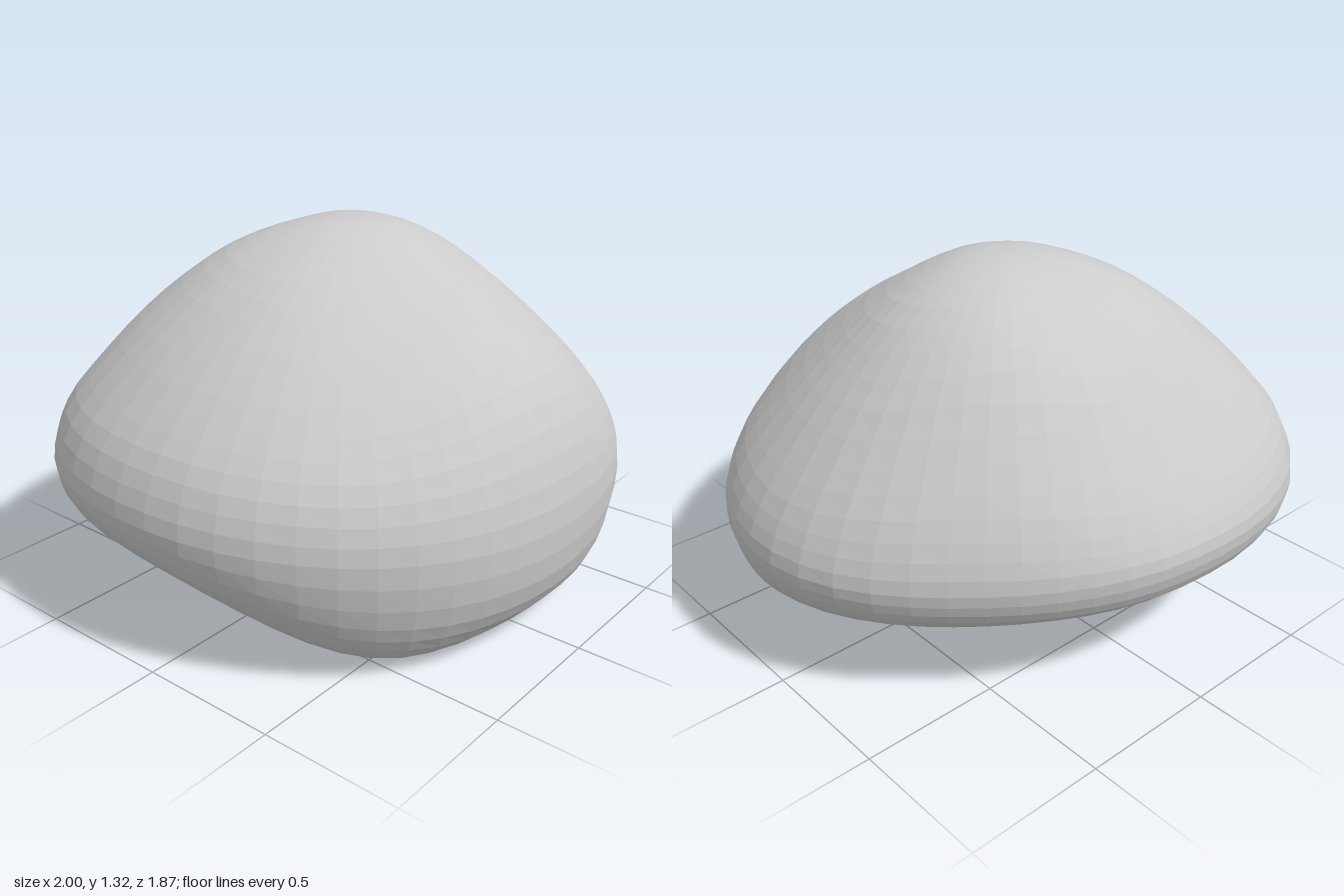
import * as THREE from 'three';

// Values every 45 degrees, from +x (left) towards +z (front)
const radius = [1.0, 1.0, 0.93, 0.94, 0.995, 1.055, 0.925, 0.875];
const rimRadius = [0.82, 0.88, 0.7, 0.79, 0.79, 0.71, 0.72, 0.78];
const rimHeight = [0.24, 0.045, 0.003, 0.045, 0.27, 0.3, 0.29, 0.28];

// Heights of the dome at these fractions of the radius
const domeSteps = [0.08, 0.2, 0.4, 0.62, 0.82, 0.95, 1];
const domeHeights = [
  [1.318, 1.316, 1.314, 1.314, 1.317, 1.319, 1.319, 1.32],
  [1.3, 1.285, 1.28, 1.275, 1.285, 1.298, 1.3, 1.308],
  [1.215, 1.18, 1.175, 1.165, 1.19, 1.22, 1.22, 1.245],
  [1.025, 1.01, 1.06, 1.01, 1.035, 1.06, 1.06, 1.1],
  [0.8, 0.81, 0.91, 0.83, 0.85, 0.86, 0.82, 0.87],
  [0.62, 0.63, 0.69, 0.66, 0.69, 0.69, 0.64, 0.67],
  [0.48, 0.46, 0.45, 0.48, 0.52, 0.52, 0.52, 0.5],
];
// Hollow underside: [fraction of rim radius, rise towards the ceiling]
const hollow = [[0.88, 0.17], [0.72, 0.44], [0.5, 0.74], [0.27, 0.93], [0, 1]];
const CEILING = 0.49;

// Smooth periodic interpolation of a table around the body
function around(table, t) {
  const n = table.length, i = Math.floor(t * n), f = t * n - i;
  const [a, b, c, d] = [-1, 0, 1, 2].map((k) => table[(i + k + n) % n]);
  return b + 0.5 * f * (c - a + f * (2 * a - 5 * b + 4 * c - d + f * (3 * (b - c) + d - a)));
}

// Section from the crown, over the rim, to the middle of the hollow
function section(t) {
  const angle = t * Math.PI * 2;
  const R = around(radius, t), rim = around(rimRadius, t), low = around(rimHeight, t);
  const wide = around(domeHeights[6], t);
  const drop = (s) => wide + (low - wide) * s;
  const profile = [[0, 1.32]];
  domeSteps.forEach((f, i) => profile.push([f * R, around(domeHeights[i], t)]));
  profile.push([0.96 * R, drop(0.55)], [(0.45 * 0.96 + 0.55 * rim) * R, drop(0.9)], [rim * R, low]);
  hollow.forEach(([k, rise]) => profile.push([k * rim * R, low + (CEILING - low) * rise]));
  return new THREE.CatmullRomCurve3(profile.map(([r, y]) =>
    new THREE.Vector3(r * Math.cos(angle), y, r * Math.sin(angle))));
}

function bodyGeometry(columns, along) {
  const positions = [], index = [];
  for (let i = 0; i < columns; i++) {
    const curve = section(i / columns);
    for (let j = 0; j <= along; j++) {
      const p = curve.getPoint(j / along);
      positions.push(p.x, Math.max(0, p.y), p.z);
    }
  }
  const row = along + 1;
  for (let i = 0; i < columns; i++) {
    for (let j = 0; j < along; j++) {
      const a = i * row + j, b = ((i + 1) % columns) * row + j;
      if (j > 0) index.push(a, b, a + 1);
      if (j < along - 1) index.push(b, b + 1, a + 1);
    }
  }
  const geometry = new THREE.BufferGeometry();
  geometry.setAttribute('position', new THREE.Float32BufferAttribute(positions, 3));
  geometry.setIndex(index);
  geometry.computeVertexNormals();
  return geometry;
}

export function createModel() {
  const group = new THREE.Group();
  group.name = 'hollowDome';
  const body = new THREE.Mesh(bodyGeometry(48, 45), new THREE.MeshStandardMaterial({
    color: 0xcccccc, flatShading: true,
  }));
  body.name = 'domeShell';
  group.add(body);
  return group;
}
